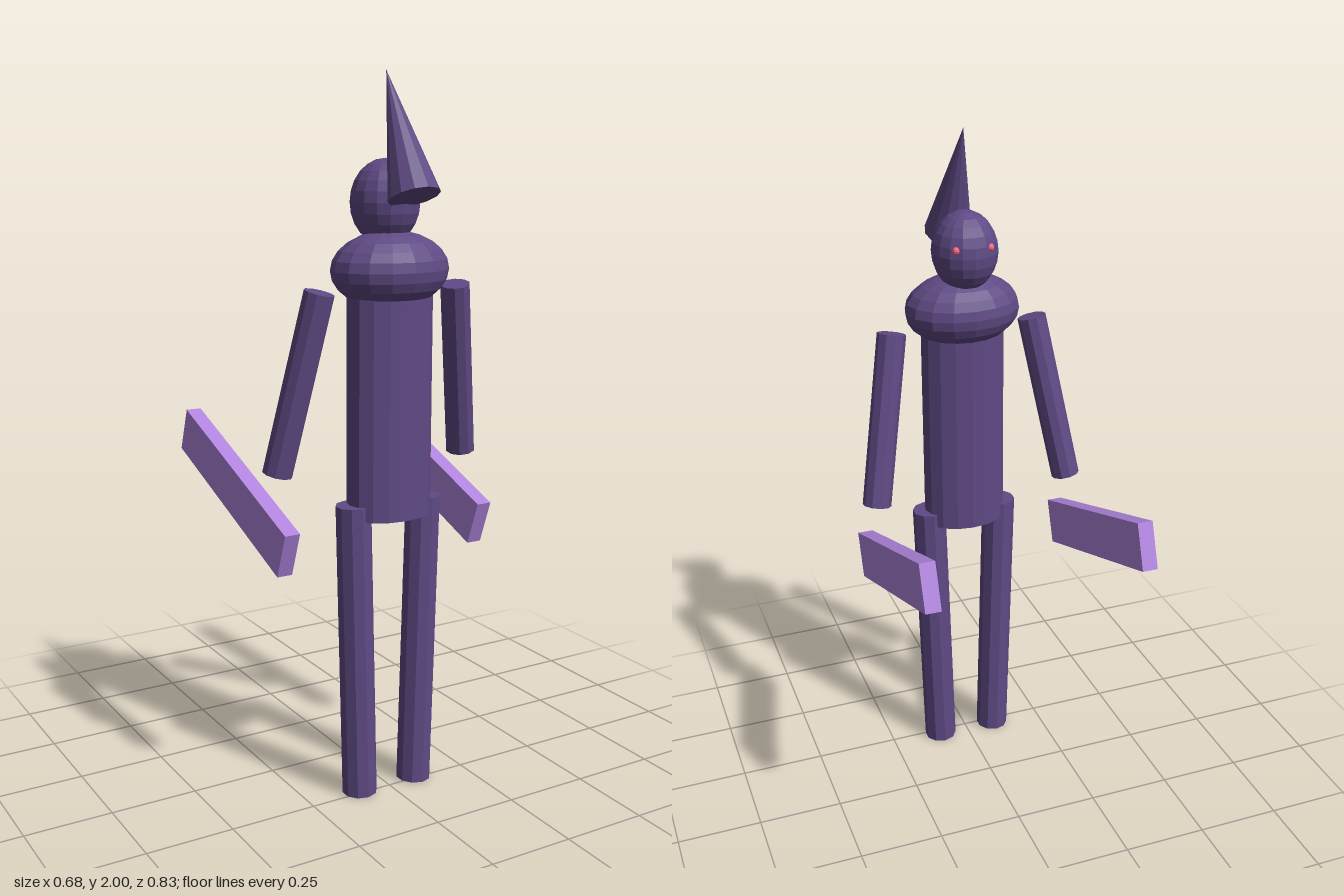
import * as THREE from 'three';

const material = (color) => new THREE.MeshStandardMaterial({ color, flatShading: true });

export function createModel() {
  const group = new THREE.Group();
  const cloth = material(0x5f4a85);
  const blade = material(0xb285e0);
  const glow = material(0xff6680);

  const add = (name, geometry, mat, x, y, z) => {
    const mesh = new THREE.Mesh(geometry, mat);
    mesh.name = name;
    mesh.position.set(x, y, z);
    group.add(mesh);
    return mesh;
  };

  // Straight round limb between two points
  const limb = (name, top, bottom, radius) => {
    const a = new THREE.Vector3(...top);
    const b = new THREE.Vector3(...bottom);
    const axis = a.clone().sub(b);
    const mid = a.clone().add(b).multiplyScalar(0.5);
    const mesh = add(name, new THREE.CylinderGeometry(radius, radius, axis.length(), 10), cloth, mid.x, mid.y, mid.z);
    mesh.quaternion.setFromUnitVectors(new THREE.Vector3(0, 1, 0), axis.normalize());
  };

  // Flattened torso, shoulders and head
  add('torso', new THREE.CylinderGeometry(0.125, 0.125, 0.66, 16), cloth, 0, 1.14, 0.235).scale.z = 0.7;
  add('shoulders', new THREE.SphereGeometry(1, 16, 12), cloth, 0, 1.485, 0.234).scale.set(0.17, 0.105, 0.127);
  add('head', new THREE.SphereGeometry(1, 16, 12), cloth, 0, 1.662, 0.207).scale.set(0.095, 0.114, 0.096);

  // Pointed hood tilted over the head
  add('hood', new THREE.ConeGeometry(0.07, 0.35, 12), cloth, 0, 1.84, 0.278).rotation.x = -0.41;

  // Paired parts
  for (const [side, s] of [['left', 1], ['right', -1]]) {
    add(side + 'Eye', new THREE.SphereGeometry(0.011, 8, 6), glow, s * 0.05, 1.686, 0.134);
    limb(side + 'Arm', [s * 0.214, 1.435, 0.23], [s * 0.3, 0.942, 0.148], 0.042);
    limb(side + 'Leg', [s * 0.113, 0.851, 0.235], [s * 0.091, 0.001, 0.235], 0.05);
    add(side + 'Blade', new THREE.BoxGeometry(0.045, 0.135, 0.667), blade, s * 0.312, 0.853, -0.081).rotation.x = 0.355;
  }

  return group;
}
